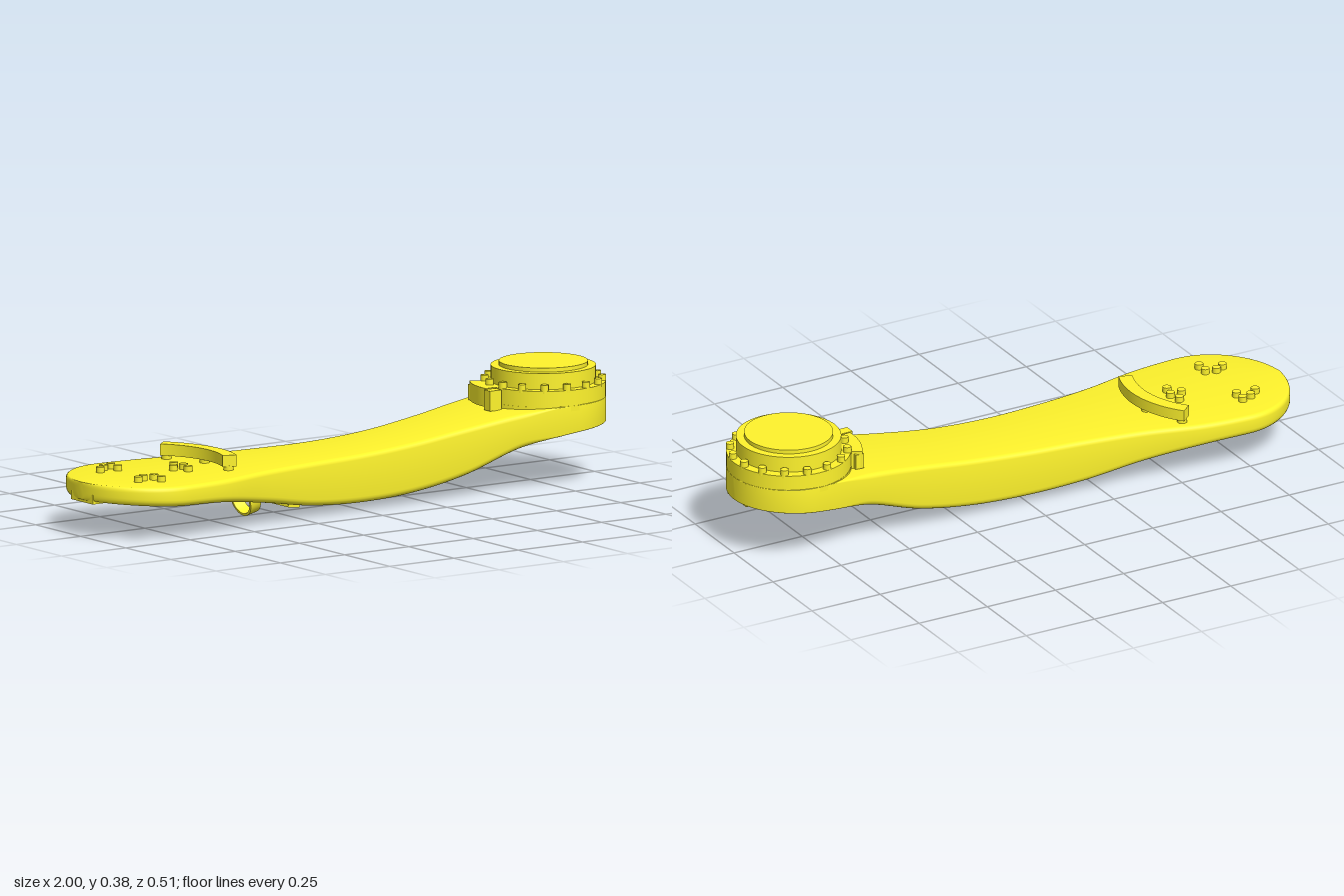
import * as THREE from 'three';
import { toCreasedNormals } from 'three/addons/utils/BufferGeometryUtils.js';

const yellow = new THREE.MeshStandardMaterial({ color: 0xfff42c, side: THREE.DoubleSide });

// Creased normals, worked out at a larger scale so that close points stay apart
function crease(geo, angle) {
  geo.scale(100, 100, 100);
  return toCreasedNormals(geo, angle).scale(0.01, 0.01, 0.01);
}

// Smooth lookup through values spaced 0.2 apart along x from -1 to 1
function profile(values) {
  const curve = new THREE.SplineCurve(values.map((v, i) => new THREE.Vector2(i, v)));
  return (x) => curve.getPoint(THREE.MathUtils.clamp((x + 1) / 2, 0, 1)).y;
}
const topY = profile([0.178, 0.178, 0.178, 0.18, 0.182, 0.186, 0.2, 0.226, 0.254, 0.268, 0.268]);
const bottomY = profile([0.122, 0.112, 0.103, 0.073, 0.039, 0.027, 0.036, 0.073, 0.143, 0.18, 0.19]);
const baseWidth = profile([0.255, 0.256, 0.239, 0.193, 0.165, 0.15, 0.145, 0.152, 0.174, 0.2, 0.2]);

// Half width of the arm inset by a wall thickness, with rounded ends
function halfWidth(x, wall) {
  const w = baseWidth(x) - wall;
  let d = 0;
  if (x < -0.75) d = (-0.75 - x) / (0.25 - wall);
  if (x > 0.8) d = (x - 0.8) / (0.2 - wall);
  return w * Math.sqrt(Math.max(0, 1 - d * d));
}

// Half width of the two openings in the underside
function opening(x, inner) {
  const left = 0.18 * Math.sqrt(Math.max(0, (-0.34 - x) / 0.25));
  const right = 0.13 * Math.sqrt(Math.max(0, (x - 0.33) / 0.3));
  return Math.min(inner, Math.max(left, right));
}

// Hollow section, as (z, y) points from the top centre round to the ceiling centre
function halfSection(x) {
  const w = halfWidth(x, 0);
  const inner = halfWidth(x, 0.025);
  const open = opening(x, inner);
  const t = topY(x), b = bottomY(x), steps = 5;
  // The edges sharpen where the arm runs into the round joint
  const sharp = 1 - 0.85 * THREE.MathUtils.smoothstep(x, 0.58, 0.75);
  const rt = Math.min(0.016 * sharp, w);
  const rb = Math.min(0.022 * sharp, w);
  const pts = [[0, t]];
  for (let i = 0; i <= steps; i++) {
    const a = (i / steps) * Math.PI / 2;
    pts.push([w - rt + rt * Math.sin(a), t - rt + rt * Math.cos(a)]);
  }
  for (let i = 0; i <= steps; i++) {
    const a = (i / steps) * Math.PI / 2;
    pts.push([w - rb + rb * Math.cos(a), b + rb - rb * Math.sin(a)]);
  }
  pts.push([open, b], [open, b + 0.018], [inner, b + 0.018], [inner, t - 0.02], [0, t - 0.02]);
  return pts;
}

function armGeometry() {
  const stations = [];
  for (let i = 0; i <= 28; i++) {
    const c = 1 - Math.cos((i / 28) * Math.PI / 2);
    stations.push(-1 + 0.25 * c, 1 - 0.2 * c);
  }
  for (let x = -0.74; x < 0.79; x += 0.015) stations.push(x);
  for (const e of [0.001, 0.003, 0.006]) stations.push(-0.34 - e, 0.33 + e);
  stations.sort((a, b) => a - b);

  const positions = [], index = [];
  let n = 0;
  for (const x of stations) {
    const half = halfSection(x);
    const mirrored = half.slice(1, -1).reverse().map(([z, y]) => [-z, y]);
    const ring = half.concat(mirrored);
    n = ring.length;
    for (const [z, y] of ring) positions.push(x, y, z);
  }
  for (let i = 0; i < stations.length - 1; i++) {
    for (let j = 0; j < n; j++) {
      const a = i * n + j, b = i * n + (j + 1) % n;
      index.push(a, b, b + n, a, b + n, a + n);
    }
  }
  const geo = new THREE.BufferGeometry();
  geo.setAttribute('position', new THREE.Float32BufferAttribute(positions, 3));
  geo.setIndex(index);
  return crease(geo, 0.6);
}

export function createModel() {
  const model = new THREE.Group();

  function add(name, geo, x = 0, y = 0, z = 0, tilt = 0) {
    const mesh = new THREE.Mesh(geo, yellow);
    mesh.name = name;
    mesh.position.set(x, y, z);
    mesh.rotation.z = tilt;
    model.add(mesh);
  }
  // Upright cylinder between two heights
  function post(name, x, z, r, y0, y1, sides = 16) {
    add(name, new THREE.CylinderGeometry(r, r, y1 - y0, sides), x, (y0 + y1) / 2, z);
  }
  // Curved block in plan, around a centre on the x axis
  function arcBlock(name, cx, r0, r1, a0, a1, y0, y1) {
    const s = new THREE.Shape();
    s.absarc(0, 0, r1, a0, a1, false);
    s.absarc(0, 0, r0, a1, a0, true);
    const geo = new THREE.ExtrudeGeometry(s, { depth: y1 - y0, bevelEnabled: false, curveSegments: 24 });
    geo.rotateX(-Math.PI / 2);
    add(name, crease(geo, 0.5), cx, y0, 0);
  }

  add('arm', armGeometry());

  // Round joint at the raised end
  post('jointCollar', 0.8, 0, 0.2, 0.25, 0.267, 64);
  post('jointFlange', 0.8, 0, 0.199, 0.267, 0.318, 64);
  post('jointDrum', 0.8, 0, 0.168, 0.318, 0.37, 64);
  post('jointCap', 0.8, 0, 0.142, 0.37, 0.383, 64);
  for (let i = 0; i < 16; i++) {
    const a = (i + 0.5) * Math.PI / 8;
    post('flangeBolt', 0.8 + 0.187 * Math.cos(a), 0.187 * Math.sin(a), 0.013, 0.31, 0.337, 12);
  }

  // Curved clamp where the arm meets the joint
  const rad = THREE.MathUtils.degToRad;
  arcBlock('jointClamp', 0.8, 0.195, 0.235, rad(147), rad(184), 0.258, 0.318);
  add('clampBlock', new THREE.BoxGeometry(0.045, 0.065, 0.035), 0.575, 0.284, 0.04);
  add('clampBlock', new THREE.BoxGeometry(0.03, 0.05, 0.03), 0.61, 0.283, -0.11);

  // Curved stop on the wide end, held by small feet
  arcBlock('curvedStop', -0.77, 0.27, 0.315, rad(-23), rad(41), 0.192, 0.229);
  for (const a of [-20, 10, 38]) {
    post('stopFoot', -0.77 + 0.292 * Math.cos(rad(a)), -0.292 * Math.sin(rad(a)), 0.016, 0.17, 0.195);
  }

  // Three groups of through bolts on the wide end
  const bolts = [[-0.61, -0.04], [-0.64, 0], [-0.6, 0], [-0.61, 0.04]];
  for (const s of [-1, 1]) {
    bolts.push([-0.85, 0.105 * s], [-0.82, (s < 0 ? 0.13 : 0.09) * s], [-0.785, 0.1 * s], [-0.785, 0.14 * s]);
  }
  for (const [x, z] of bolts) {
    post('throughBolt', x, z, 0.014, 0.15, 0.196, 12);
    post('boltNut', x, z, 0.018, 0.125, 0.162, 12);
  }

  // U-shaped cable straps hanging in the two openings
  function strap(x, y, r, arm, tilt) {
    const s = new THREE.Shape();
    s.moveTo(-r, arm);
    s.absarc(0, 0, r, Math.PI, Math.PI * 2, false);
    s.lineTo(r, arm);
    s.lineTo(r - 0.008, arm);
    s.absarc(0, 0, r - 0.008, 0, -Math.PI, true);
    s.lineTo(-r + 0.008, arm);
    const geo = new THREE.ExtrudeGeometry(s, { depth: 0.04, bevelEnabled: false, curveSegments: 16 });
    geo.translate(0, 0, -0.02);
    geo.rotateY(Math.PI / 2);
    add('cableStrap', crease(geo, 0.5), x, y, 0, tilt);
    const plate = new THREE.BoxGeometry(0.04, 0.014, 0.17);
    plate.translate(0, arm, 0);
    add('strapPlate', plate, x, y, 0, tilt);
  }
  strap(-0.36, 0.061, 0.056, 0.05, 0.25);
  strap(0.48, 0.148, 0.058, 0.032, 0.3);

  // Small pads beside the openings and under both tips
  add('underPad', new THREE.BoxGeometry(0.045, 0.02, 0.116), -0.21, 0.031, 0, -0.12);
  add('underPad', new THREE.BoxGeometry(0.045, 0.02, 0.116), 0.33, 0.058, 0, 0.15);
  add('tipPad', new THREE.BoxGeometry(0.04, 0.03, 0.12), -0.975, 0.128, 0);
  add('tipPad', new THREE.BoxGeometry(0.035, 0.025, 0.12), 0.972, 0.197, 0);

  return model;
}
